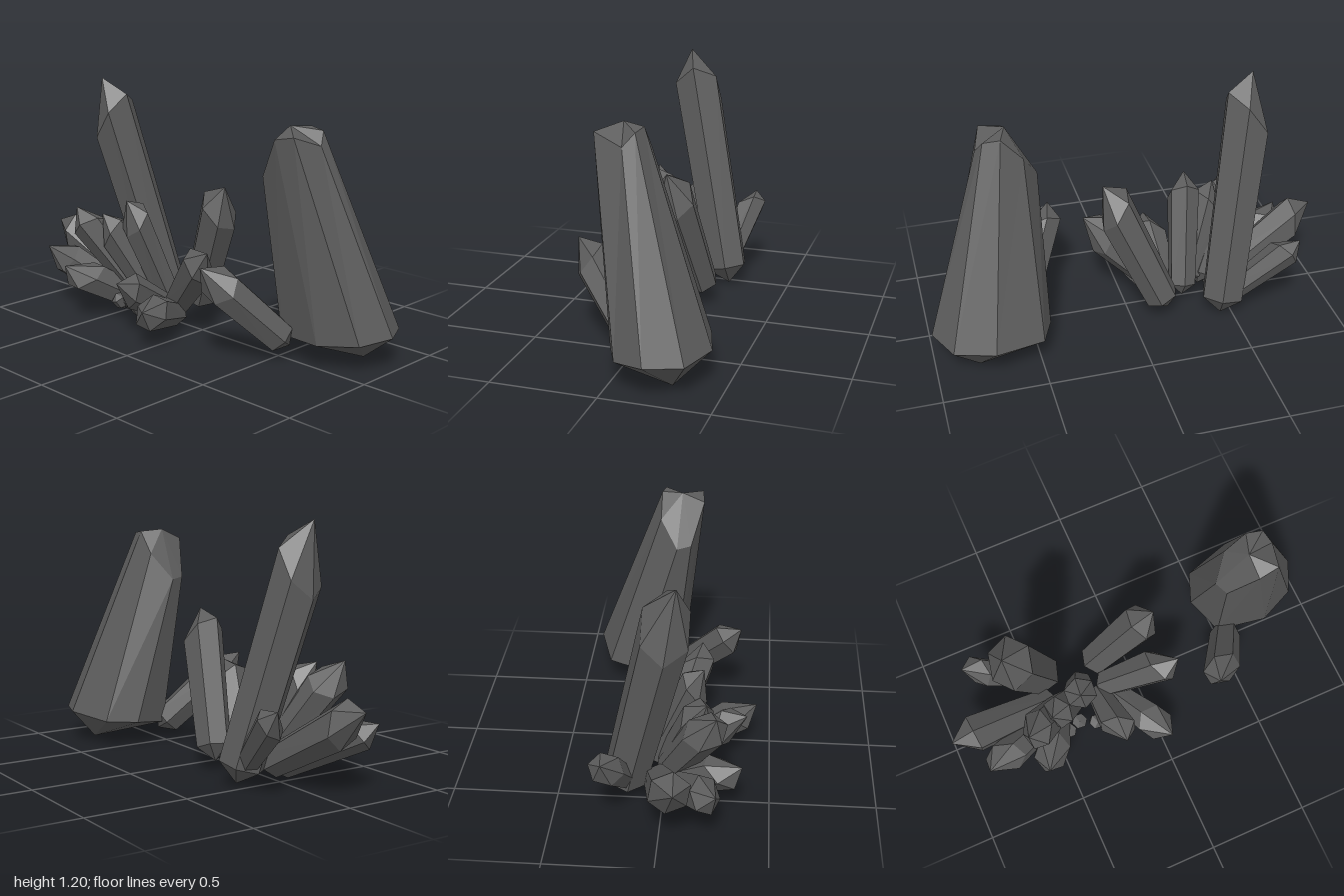
import * as THREE from 'three';

const material = new THREE.MeshStandardMaterial({ color: 0x5c5c5c, flatShading: true });
const vec = (p) => new THREE.Vector3(...p);

// Closed faceted solid: a bottom point, rings (counter-clockwise from above), a top point
function loft(bottom, rings, top) {
  const pos = [];
  const tri = (...pts) => pts.forEach((p) => pos.push(...p));
  const n = rings[0].length;
  const last = rings[rings.length - 1];
  for (let i = 0; i < n; i++) {
    const j = (i + 1) % n;
    tri(rings[0][j], rings[0][i], bottom);
    for (let k = 0; k + 1 < rings.length; k++) {
      const a = rings[k], b = rings[k + 1];
      tri(a[i], a[j], b[j]);
      tri(a[i], b[j], b[i]);
    }
    tri(last[i], last[j], top);
  }
  const geometry = new THREE.BufferGeometry();
  geometry.setAttribute('position', new THREE.Float32BufferAttribute(pos, 3));
  geometry.computeVertexNormals();
  return geometry;
}

// Six-sided crystal from base point to tip; the shoulder ring is tilted.
// point is the length of the tip and slant the tilt, both in shoulder radii.
function crystal(name, base, tip, rBase, rTop, twist = 0, point = 1.4, slant = 0.6) {
  const from = vec(base), axis = vec(tip).sub(from);
  const length = axis.length();
  const ring = (r, height, tilt) => Array.from({ length: 6 }, (_, i) => {
    const a = (i / 6) * Math.PI * 2;
    return [Math.cos(a) * r, height + Math.cos(a) * tilt, -Math.sin(a) * r];
  });
  const geometry = loft(
    [0, 0, 0],
    [ring(rBase, rBase * 0.8, 0), ring(rTop, length - rTop * point, rTop * slant)],
    [0, length, 0],
  );
  geometry.rotateY(twist);
  const mesh = new THREE.Mesh(geometry, material);
  mesh.name = name;
  mesh.position.copy(from);
  mesh.quaternion.setFromUnitVectors(new THREE.Vector3(0, 1, 0), axis.normalize());
  return mesh;
}

export function createModel() {
  const group = new THREE.Group();
  group.name = 'crystalCluster';

  // Great crystal: broad pointed foot, narrow end cut at a slant
  const foot = [
    [1.0, 0.16, -0.2], [0.92, 0.15, -0.36], [0.73, 0.16, -0.43], [0.49, 0.14, -0.36],
    [0.43, 0.13, -0.21], [0.5, 0.1, -0.02], [0.75, 0.12, 0.03], [0.93, 0.14, -0.05],
  ];
  const shoulder = [
    [0.71, 1.02, -0.02], [0.68, 1.08, -0.07], [0.6, 1.09, -0.085], [0.5, 0.98, -0.085],
    [0.425, 0.85, 0.0], [0.45, 0.86, 0.07], [0.57, 1.05, 0.13], [0.67, 1.07, 0.12],
  ];
  const great = new THREE.Mesh(loft([0.79, 0, -0.27], [foot, shoulder], [0.565, 1.1, 0.02]), material);
  great.name = 'greatCrystal';
  group.add(great);

  // Its small companion
  group.add(crystal('companionCrystal', [0.55, 0.06, -0.02], [0.32, 0.46, 0.34], 0.08, 0.09, 2.6));

  // Tall crystal of the cluster
  group.add(crystal('tallCrystal', [-0.44, 0.01, -0.2], [-0.645, 1.2, 0.07], 0.11, 0.122, 0.2, 1.8, 0.95));

  // Fan of leaning crystals: base, tip, foot radius, shoulder radius, twist
  const fan = [
    [[-0.42, 0.06, -0.03], [-1.0, 0.4, 0.08], 0.075, 0.1, 0],
    [[-0.45, 0.07, -0.17], [-0.82, 0.41, -0.25], 0.055, 0.075, 1.3],
    [[-0.42, 0.04, 0.02], [-0.88, 0.31, 0.26], 0.065, 0.088, 2.6],
    [[-0.43, 0.05, 0.0], [-0.61, 0.28, 0.37], 0.07, 0.09, 3.9],
    [[-0.38, 0.06, 0.0], [-0.65, 0.56, 0.25], 0.07, 0.092, 5.2],
    [[-0.32, 0.07, 0.0], [-0.51, 0.54, 0.2], 0.065, 0.085, 0.2],
    [[-0.28, 0.05, -0.06], [-0.35, 0.63, 0.18], 0.07, 0.082, 1.5],
    [[-0.18, 0.05, -0.14], [0.12, 0.74, -0.03], 0.085, 0.1, 3.4],
    [[-0.2, 0.07, 0.0], [0.18, 0.46, 0.15], 0.07, 0.095, 4.1],
    [[-0.17, 0.05, 0.0], [0.03, 0.2, 0.43], 0.065, 0.088, 5.4],
    [[-0.22, 0.06, 0.0], [-0.2, 0.28, 0.385], 0.06, 0.087, 0.5],
  ];
  fan.forEach(([base, tip, rBase, rTop, twist], i) => {
    group.add(crystal(`fanCrystal${i + 1}`, base, tip, rBase, rTop, twist));
  });

  // Little buds between the feet
  const buds = [[-0.48, 0.1], [-0.42, 0.14], [-0.36, 0.12], [-0.29, 0.15], [-0.18, 0.12]];
  buds.forEach(([x, z], i) => {
    const tip = [x + (x + 0.33) * 0.2, 0.13, z * 1.3];
    group.add(crystal(`bud${i + 1}`, [x, 0.045, z], tip, 0.03, 0.04, i, 0.6, 0.1));
  });

  return group;
}
